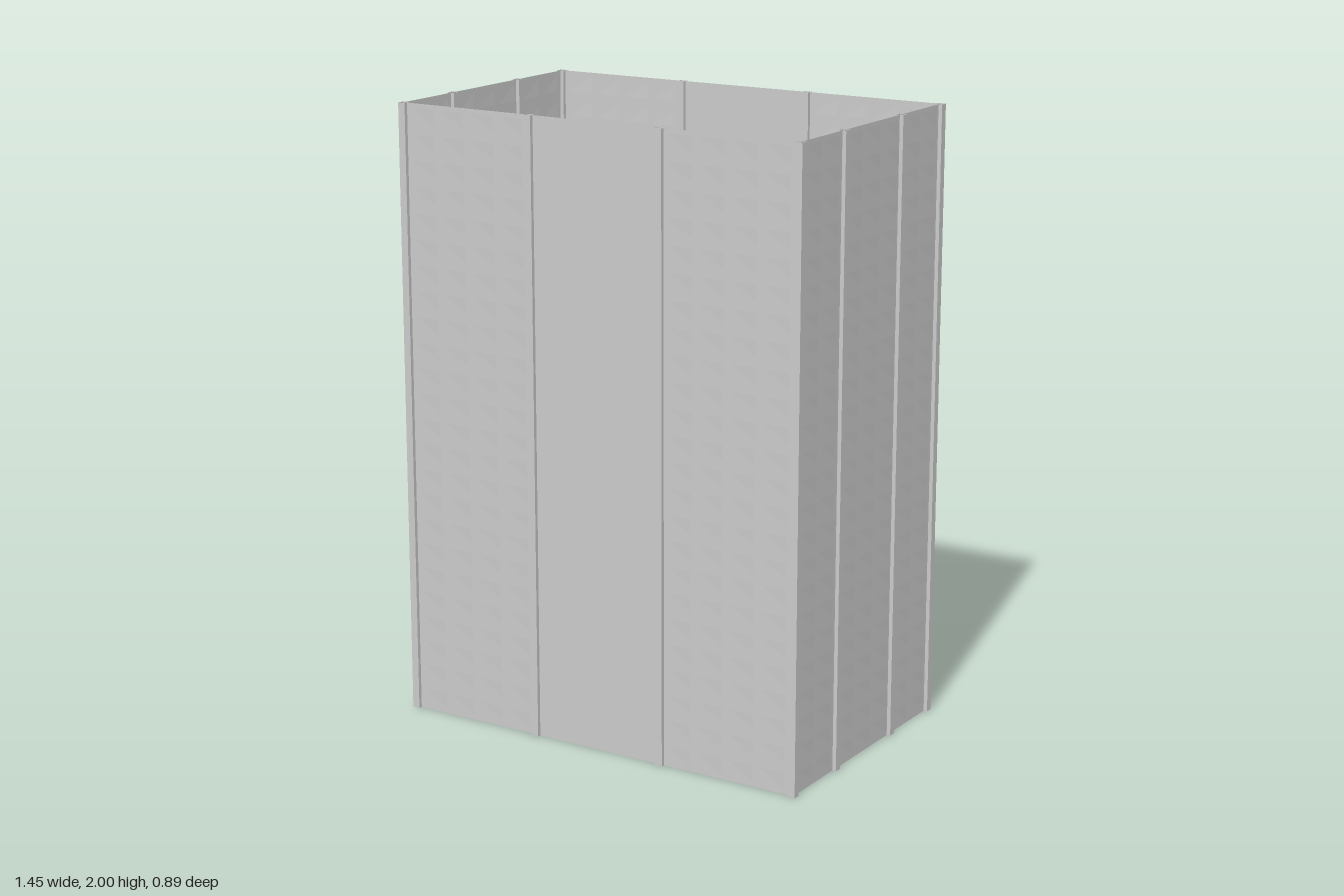
import * as THREE from 'three';
import { mergeGeometries } from 'three/addons/utils/BufferGeometryUtils.js';

const H = 2, HALF_X = 0.712, HALF_Z = 0.434, POST = 0.025;
const ROWS = 24, PANE_W = 0.087, PANE_H = 0.055;
const FRONT_COLUMNS = [0.303, 0.414, 0.526, 0.638];
const SIDE_COLUMNS = [-0.361, -0.252, -0.113, 0, 0.113, 0.252, 0.361];

export function createModel() {
  const group = new THREE.Group();
  const material = new THREE.MeshStandardMaterial({
    color: 0xcccccc, side: THREE.DoubleSide, flatShading: true,
  });
  const add = (parent, name, geometry) => {
    const mesh = new THREE.Mesh(geometry, material);
    mesh.name = name;
    parent.add(mesh);
    return mesh;
  };

  // Grid of thin panes, each tilted very slightly through the wall surface
  const panes = (columns) => {
    const list = [];
    for (const x of columns) {
      for (let r = 0; r < ROWS; r++) {
        const pane = new THREE.PlaneGeometry(PANE_W, PANE_H);
        pane.rotateX(0.03).rotateY(-0.018);
        pane.translate(x, (r + 0.5) * H / ROWS, 0);
        list.push(pane);
      }
    }
    return mergeGeometries(list);
  };

  // One facade: a thin wall with its window panes
  const facade = (name, width, distance, angle, columns) => {
    const side = new THREE.Group();
    side.name = name;
    add(side, 'wall', new THREE.PlaneGeometry(width, H).translate(0, H / 2, 0));
    add(side, 'windows', panes(columns));
    side.position.set(Math.sin(angle) * distance, 0, Math.cos(angle) * distance);
    side.rotation.y = angle;
    group.add(side);
  };
  const outerBays = [...FRONT_COLUMNS.map((x) => -x), ...FRONT_COLUMNS];
  facade('frontFacade', HALF_X * 2, HALF_Z, 0, outerBays);
  facade('backFacade', HALF_X * 2, HALF_Z, Math.PI, outerBays);
  facade('leftFacade', HALF_Z * 2, HALF_X, Math.PI / 2, SIDE_COLUMNS);
  facade('rightFacade', HALF_Z * 2, HALF_X, -Math.PI / 2, SIDE_COLUMNS);

  // Hollow square posts at the corners and between the bays
  const post = new THREE.CylinderGeometry(POST / Math.SQRT2, POST / Math.SQRT2, H, 4, 1, true)
    .rotateY(Math.PI / 4).translate(0, H / 2, 0);
  for (const sx of [-1, 1]) {
    for (const sz of [-1, 1]) {
      add(group, 'cornerPost', post).position.set(sx * HALF_X, 0, sz * HALF_Z);
      add(group, 'facadePost', post).position.set(sx * 0.235, 0, sz * HALF_Z);
      add(group, 'sidePost', post).position.set(sx * HALF_X, 0, sz * 0.178);
    }
  }
  return group;
}
